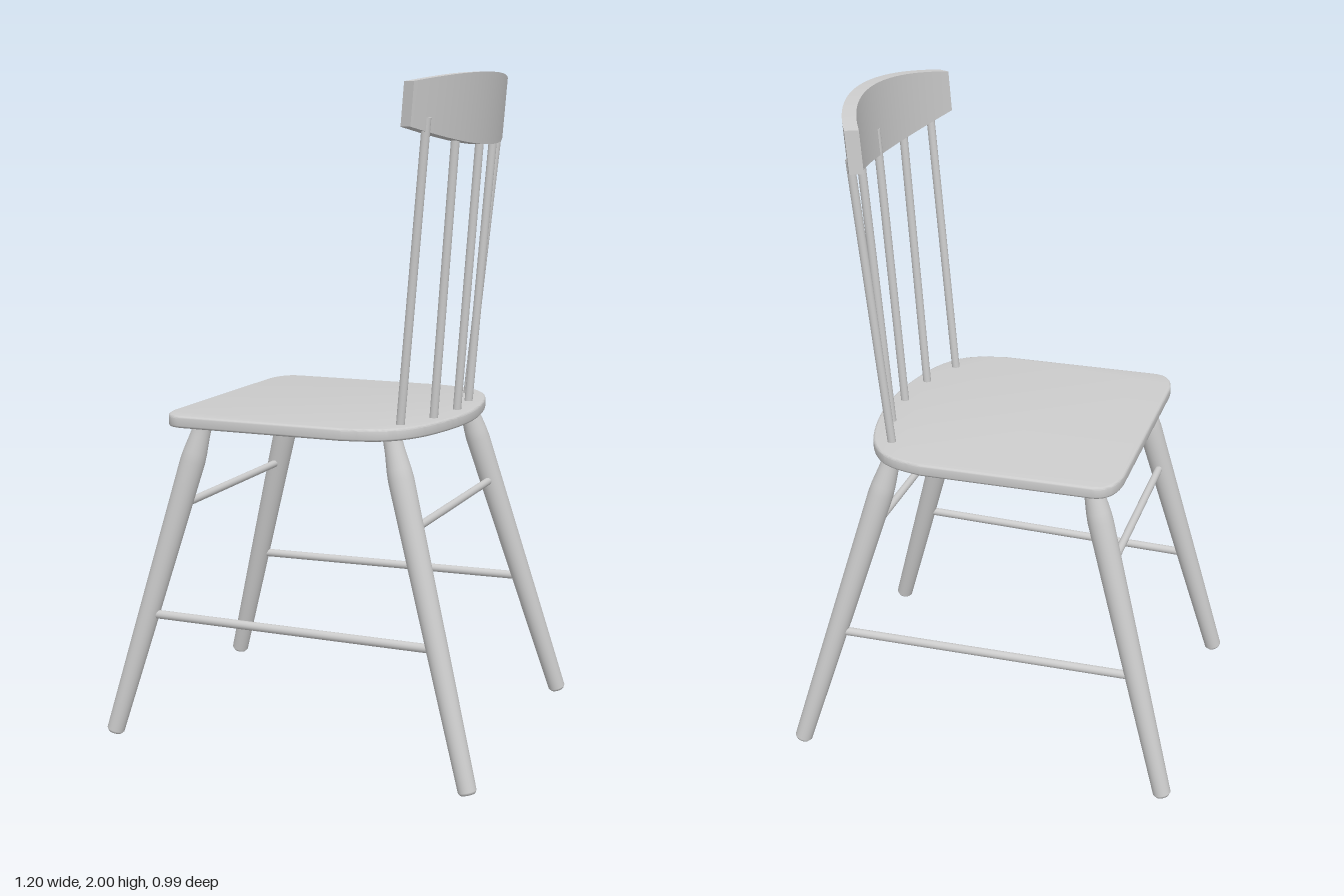
import * as THREE from 'three';
import { toCreasedNormals } from 'three/addons/utils/BufferGeometryUtils.js';

const material = new THREE.MeshStandardMaterial({ color: 0xcccccc });
const UP = new THREE.Vector3(0, 1, 0);
const v = (x, y, z) => new THREE.Vector3(x, y, z);

function addMesh(parent, name, geometry) {
  const mesh = new THREE.Mesh(geometry, material);
  mesh.name = name;
  parent.add(mesh);
  return mesh;
}

// Stands a geometry that grows along +y on point a, pointing at b
function aim(mesh, a, b) {
  mesh.position.copy(a);
  mesh.quaternion.setFromUnitVectors(UP, b.clone().sub(a).normalize());
}

// Round rod between two points
function addRod(parent, name, a, b, radius) {
  const length = a.distanceTo(b);
  const geometry = new THREE.CylinderGeometry(radius, radius, length, 16).translate(0, length / 2, 0);
  aim(addMesh(parent, name, geometry), a, b);
}

// Turned leg: bevelled foot, gentle swell, narrow neck under the seat
function addLeg(parent, name, foot, top) {
  const length = foot.distanceTo(top);
  const profile = [
    [0, 0], [0.021, 0], [0.027, 0.008], [0.031, 0.3], [0.037, 0.8],
    [0.038, 0.87], [0.036, 0.9], [0.03, 0.95], [0.028, 0.98], [0.028, 1], [0, 1],
  ].map(([r, t]) => new THREE.Vector2(r, t * length));
  aim(addMesh(parent, name, new THREE.LatheGeometry(profile, 24)), foot, top);
}

// Thin seat with rounded front corners and a bowed back edge
function seatGeometry() {
  const back = [[0.26, 0.407], [0.32, 0.365], [0.37, 0.28], [0.405, 0.14]];
  const shape = new THREE.Shape();
  shape.moveTo(-0.41, -0.32);
  shape.quadraticCurveTo(-0.405, -0.425, -0.34, -0.43);
  shape.lineTo(0.17, -0.43);
  shape.splineThru([
    ...back.map(([x, z]) => new THREE.Vector2(x, -z)),
    new THREE.Vector2(0.418, 0),
    ...back.slice().reverse().map(([x, z]) => new THREE.Vector2(x, z)),
    new THREE.Vector2(0.17, 0.43),
  ]);
  shape.lineTo(-0.34, 0.43);
  shape.quadraticCurveTo(-0.405, 0.425, -0.41, 0.32);
  shape.closePath();
  const bevel = 0.007;
  const geometry = new THREE.ExtrudeGeometry(shape, {
    depth: 0.036 - 2 * bevel, curveSegments: 10,
    bevelEnabled: true, bevelSize: bevel, bevelThickness: bevel, bevelOffset: -bevel, bevelSegments: 3,
  });
  geometry.rotateX(Math.PI / 2).translate(0, 1.01 - bevel, 0);
  return toCreasedNormals(geometry, 0.6);
}

// Curved top rail: taller in the middle, bowed backwards and leaning
function railGeometry() {
  const geometry = new THREE.BoxGeometry(1, 1, 2, 1, 2, 40);
  const p = geometry.attributes.position;
  for (let i = 0; i < p.count; i++) {
    const t = p.getZ(i);
    const hump = 1 - t * t;
    const y = THREE.MathUtils.lerp(1.845 - 0.05 * hump, 1.966 + 0.034 * hump, p.getY(i) + 0.5);
    const normal = new THREE.Vector2(1, 0.2 * t / 0.385).normalize().multiplyScalar(0.04 * p.getX(i));
    const lean = 0.08 * (y - 2);
    p.setXYZ(i, 0.457 - 0.1 * t * t + lean + normal.x, y, 0.385 * t + normal.y);
  }
  geometry.computeVertexNormals();
  return geometry;
}

export function createModel() {
  const chair = new THREE.Group();
  chair.name = 'chair';
  addMesh(chair, 'seat', seatGeometry());
  addMesh(chair, 'topRail', railGeometry());

  // Leg axes for one side, mirrored in z; the chair faces -x
  const legs = {
    front: { foot: v(-0.58, 0.007, 0.432), top: v(-0.312, 0.985, 0.322) },
    back: { foot: v(0.575, 0.007, 0.468), top: v(0.288, 0.985, 0.33) },
  };
  const onLeg = (leg, y, side) => {
    const point = leg.foot.clone().lerp(leg.top, (y - leg.foot.y) / (leg.top.y - leg.foot.y));
    point.z *= side;
    return point;
  };

  for (const [name, leg] of Object.entries(legs)) {
    for (const side of [1, -1]) {
      addLeg(chair, name + 'Leg', onLeg(leg, leg.foot.y, side), onLeg(leg, leg.top.y, side));
    }
    addRod(chair, name + 'Stretcher', onLeg(leg, 0.72, 1), onLeg(leg, 0.72, -1), 0.012);
  }
  for (const side of [1, -1]) {
    addRod(chair, 'sideStretcher', onLeg(legs.front, 0.385, side), onLeg(legs.back, 0.396, side), 0.013);
  }

  // Back spindles, fanning out slightly: [base x, base z, top x, top z]
  const spindles = [[0.37, 0, 0.435, 0], [0.353, 0.16, 0.42, 0.175], [0.302, 0.3, 0.386, 0.33]];
  for (const [x0, z0, x1, z1] of spindles) {
    for (const side of z0 ? [1, -1] : [1]) {
      addRod(chair, 'backSpindle', v(x0, 0.995, z0 * side), v(x1, 1.87, z1 * side), 0.0125);
    }
  }
  return chair;
}
